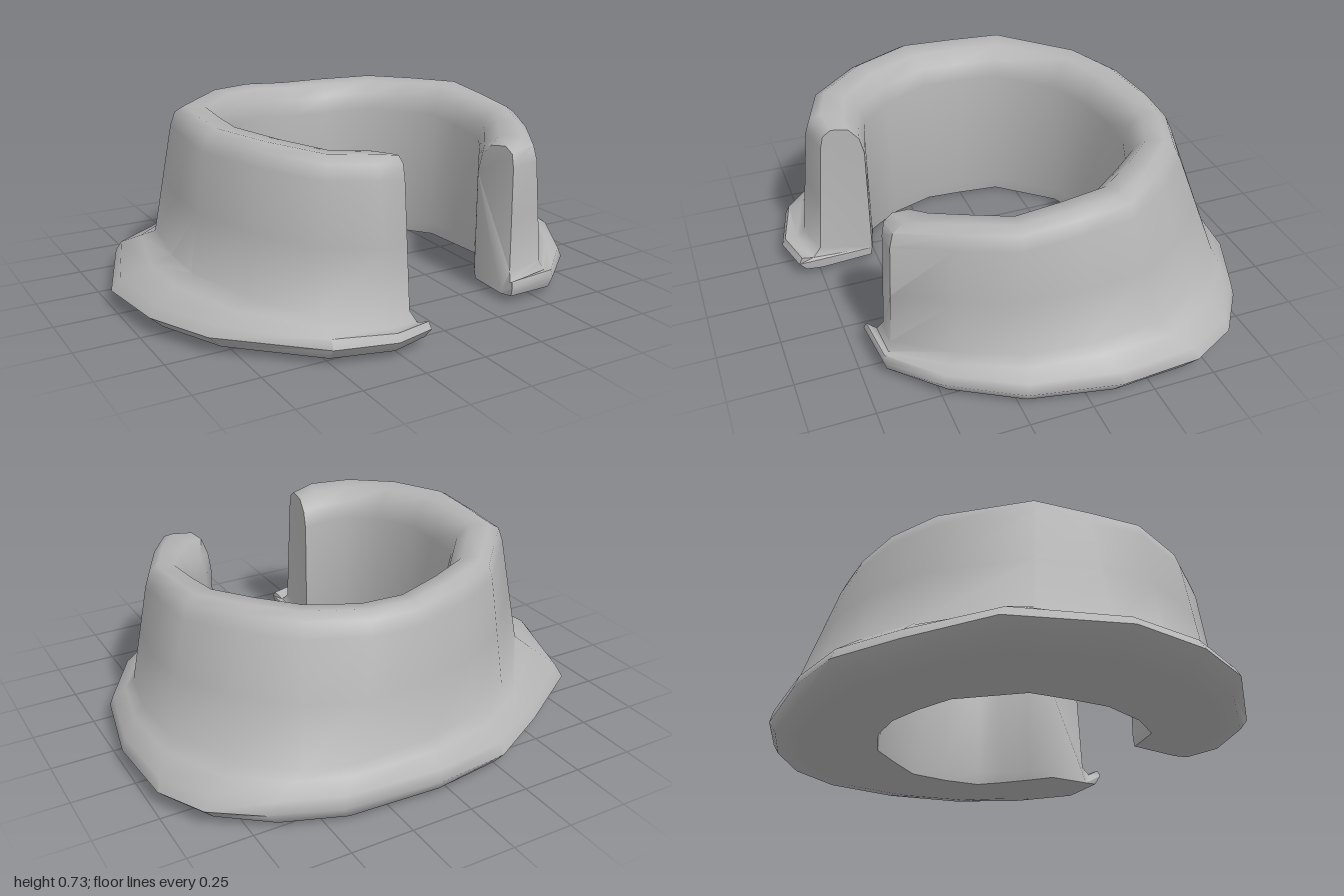
import * as THREE from 'three';
import { toCreasedNormals } from 'three/addons/utils/BufferGeometryUtils.js';

// Plan-view guide lines [x, z], running from the front left end round the back to the front right end
const INNER = [[.37, .43], [.43, .35], [.51, .25], [.57, .16], [.57, 0], [.56, -.16], [.46, -.29], [.36, -.41], [.19, -.48],
  [.03, -.49], [-.12, -.45], [-.27, -.39], [-.46, -.17], [-.48, 0], [-.49, .15], [-.42, .34], [-.32, .47], [-.2, .5], [-.14, .52]];
const RIM = [[.41, .6], [.52, .6], [.64, .4], [.74, .19], [.75, -.02], [.75, -.23], [.62, -.41], [.46, -.57], [.22, -.66],
  [.03, -.67], [-.18, -.63], [-.39, -.53], [-.65, -.25], [-.68, -.02], [-.7, .2], [-.6, .45], [-.45, .65], [-.27, .72], [-.15, .69]];
const BASE = [[.4, .62], [.54, .63], [.71, .42], [.83, .2], [.88, -.05], [.87, -.3], [.74, -.55], [.55, -.73], [.34, -.8],
  [.04, -.79], [-.2, -.73], [-.42, -.61], [-.73, -.3], [-.77, 0], [-.78, .22], [-.67, .5], [-.5, .7], [-.28, .78], [-.15, .74]];
const BRIM = [[.36, .69], [.58, .67], [.77, .5], [.93, .23], [1, -.12], [.98, -.44], [.88, -.63], [.7, -.76], [.45, -.86],
  [.05, -.89], [-.25, -.86], [-.52, -.71], [-.84, -.5], [-1, -.07], [-.96, .25], [-.84, .51], [-.51, .82], [-.28, .88], [-.12, .84]];
const TOP = [.61, .63, .65, .66, .68, .7, .7, .7, .69, .69, .71, .72, .73, .73, .73, .72, .7, .69, .67];

const mix = (a, b, t) => [a[0] + (b[0] - a[0]) * t, a[1] + (b[1] - a[1]) * t];

// One closed cross-section: up the inside, over the rounded rim, down the wall, out along the brim
function section(i) {
  const I = INNER[i], R = RIM[i], B = BASE[i], F = BRIM[i], h = TOP[i];
  const n = INNER.length - 1;
  const end = Math.max(0, 1 - Math.min(i, n - i) / 4);
  const baseY = .2 - .09 * end, low = .025 * end;
  const at = (p, y) => new THREE.Vector3(p[0], y, p[1]);
  return [
    at(mix(I, R, .04), low),
    at(I, .06),
    at(I, h - .13),
    at(mix(I, R, .1), h - .06),
    at(mix(I, R, .35), h - .01),
    at(mix(I, R, .75), h),
    at(mix(I, R, .95), h - .025),
    at(mix(R, B, .1), h - .08),
    at(mix(R, B, .55), (h + baseY) / 2 - .04),
    at(B, baseY),
    at(mix(B, F, .35), baseY - .035),
    at(mix(B, F, .85), .115 - .02 * end),
    at(F, .07),
    at(mix(F, B, .3), .02 + low * .4),
    at(mix(F, I, .3), low),
  ];
}

function bandGeometry() {
  const rings = INNER.map((_, i) => section(i));
  const m = rings[0].length, last = rings.length - 1;
  const index = [];
  for (let i = 0; i < last; i++) {
    for (let j = 0; j < m; j++) {
      const a = i * m + j, b = i * m + (j + 1) % m;
      index.push(a, b, a + m, b, b + m, a + m);
    }
  }
  // Close both ends of the open ring
  for (const i of [0, last]) {
    const origin = rings[i][1];
    const dir = rings[i][12].clone().sub(origin).setY(0).normalize();
    const flat = rings[i].map((p) => new THREE.Vector2(p.clone().sub(origin).dot(dir), p.y));
    for (const [a, b, c] of THREE.ShapeUtils.triangulateShape(flat, [])) {
      const ccw = THREE.ShapeUtils.area([flat[a], flat[b], flat[c]]) > 0;
      const o = i * m;
      if (ccw === (i === 0)) index.push(o + a, o + b, o + c);
      else index.push(o + a, o + c, o + b);
    }
  }
  const geometry = new THREE.BufferGeometry().setFromPoints(rings.flat());
  geometry.setIndex(index);
  return toCreasedNormals(geometry, THREE.MathUtils.degToRad(58));
}

export function createModel() {
  const grey = new THREE.MeshStandardMaterial({ color: 0xb4b4b4 });
  grey.name = 'plain grey';
  const group = new THREE.Group();
  group.name = 'openCollar';
  const band = new THREE.Mesh(bandGeometry(), grey);
  band.name = 'flangedBand';
  group.add(band);
  return group;
}
